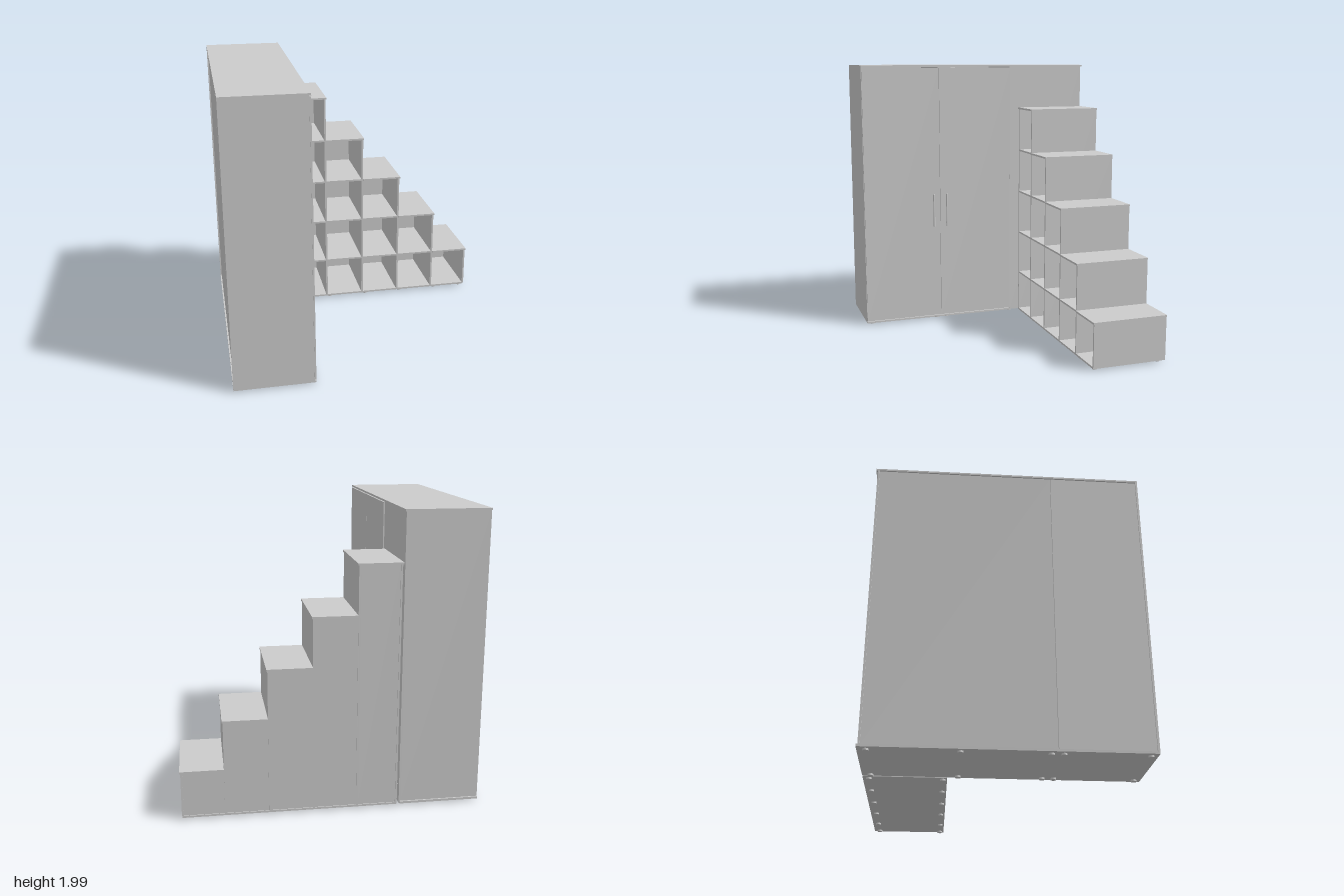
import * as THREE from 'three';

const grey = new THREE.MeshStandardMaterial({ color: 0xcccccc, flatShading: false });

// Box given by its limits on each axis
function board(parent, name, x0, x1, y0, y1, z0, z1) {
  const m = new THREE.Mesh(new THREE.BoxGeometry(x1 - x0, y1 - y0, z1 - z0), grey);
  m.position.set((x0 + x1) / 2, (y0 + y1) / 2, (z0 + z1) / 2);
  m.name = name;
  parent.add(m);
  return m;
}

function rod(parent, name, r, length, x, y, z, alongX = false) {
  const m = new THREE.Mesh(new THREE.CylinderGeometry(r, r, length, 20), grey);
  m.position.set(x, y, z);
  if (alongX) m.rotation.z = Math.PI / 2;
  m.name = name;
  parent.add(m);
  return m;
}

function makeWardrobe() {
  const g = new THREE.Group();
  g.name = 'wardrobe';
  const back = -1, front = -0.457, face = -0.445, base = 0.012, top = 1.99;

  // Carcass
  board(g, 'frontEndPanel', back, front, base, top, 0.877, 0.89);
  board(g, 'rearEndPanel', back, front, base, 1.977, -0.88, -0.867);
  board(g, 'topPanel', back, face, 1.977, top, -0.89, 0.89);
  board(g, 'bottomPanel', back, front, base, 0.027, -0.89, 0.877);
  board(g, 'plinthEdge', front, face, base, 0.025, -0.28, 0.89);
  for (const z of [-0.285, 0.297]) {
    board(g, 'divider', -0.985, front, 0.027, 1.977, z - 0.006, z + 0.006);
  }

  // Slightly recessed back sheets with a seam between them
  board(g, 'backPanel', -0.99, -0.984, 0.027, 1.977, -0.867, 0.288);
  board(g, 'backPanel', -0.99, -0.984, 0.027, 1.977, 0.291, 0.877);

  // Fixed blind panel behind the stair shelves, and two doors
  board(g, 'blindPanel', front - 0.012, front + 0.004, base, 1.977, -0.88, -0.281);
  board(g, 'door', front + 0.001, face, 0.03, 1.97, -0.278, 0.296);
  board(g, 'door', front + 0.001, face, 0.03, 1.97, 0.299, 0.887);

  // Bar handles on two standoffs
  for (const z of [0.246, 0.35]) {
    const h = new THREE.Group();
    h.name = 'handle';
    rod(h, 'handleBar', 0.007, 0.255, -0.43, 0.875, z);
    for (const y of [0.775, 0.975]) {
      rod(h, 'handleStandoff', 0.005, 0.018, -0.439, y, z, true);
    }
    g.add(h);
  }

  for (const x of [-0.96, -0.485]) {
    for (const z of [0.845, 0.325, 0.25, -0.285, -0.835]) {
      rod(g, 'foot', 0.018, 0.013, x, 0.0065, z);
    }
  }
  return g;
}

function makeStairShelves() {
  const g = new THREE.Group();
  g.name = 'stairShelves';
  const rise = 0.3315, t = 0.013, base = 0.012;
  const zBack = -0.89, zFront = -0.352, zNose = -0.346;
  const edges = [-0.445, -0.152, 0.138, 0.43, 0.72, 1.0];
  const level = n => n * rise + 0.002;

  board(g, 'bottomPanel', -0.437, 0.99, base, base + t, zBack, zFront);
  board(g, 'leftUpright', -0.437, -0.425, base + t, level(5) - t, zBack, zFront);

  for (let i = 0; i < 5; i++) {
    const steps = 5 - i;
    const inner = i === 0 ? -0.425 : edges[i] - 0.006;
    const upright = edges[i + 1] - 0.006 - t;

    // Right-hand upright, overhanging tread, shelves and recessed back
    board(g, 'upright', upright, upright + t, base + t, level(steps) - t, zBack, zFront);
    board(g, 'tread', i === 0 ? edges[0] : inner, edges[i + 1],
      level(steps) - t, level(steps), zBack, zNose);
    for (let n = 1; n < steps; n++) {
      board(g, 'shelf', inner, upright, level(n) - t, level(n), -0.878, zFront);
    }
    board(g, 'backPanel', inner, upright, base + t, level(steps) - t, -0.884, -0.878);
  }

  // Bolts joining the shelves to the wardrobe
  for (const y of [0.13, 1.57]) {
    for (const z of [-0.41, -0.83]) rod(g, 'joiningBolt', 0.005, 0.032, -0.438, y, z, true);
  }

  for (const x of [-0.405, -0.137, 0.155, 0.445, 0.74, 0.955]) {
    for (const z of [-0.38, -0.85]) rod(g, 'foot', 0.018, 0.013, x, 0.0065, z);
  }
  return g;
}

export function createModel() {
  const model = new THREE.Group();
  model.name = 'wardrobeWithStairShelves';
  model.add(makeWardrobe(), makeStairShelves());
  return model;
}
